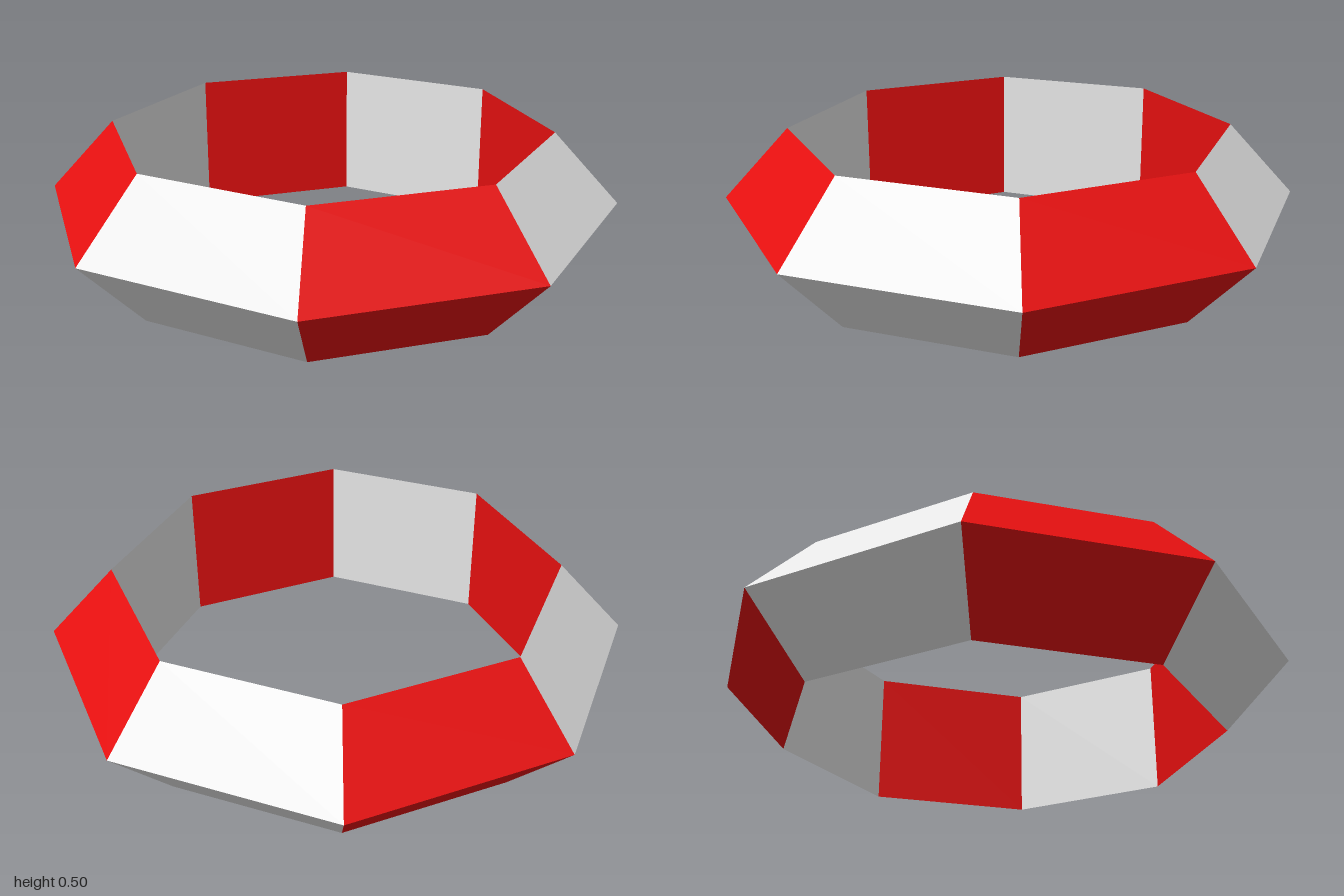
import * as THREE from 'three';

export function createModel() {
  const group = new THREE.Group();
  group.name = 'octagonalRing';

  const white = new THREE.MeshStandardMaterial({ color: 0xeeeeee, flatShading: true });
  white.name = 'white';
  const red = new THREE.MeshStandardMaterial({ color: 0xee1111, flatShading: true });
  red.name = 'red';

  // Triangular cross-section: upright inner wall, ridge on the outside
  const profile = [[0.77, 0], [1, 0.25], [0.77, 0.5], [0.77, 0]]
    .map(([r, y]) => new THREE.Vector2(r, y));

  // Eight straight segments in alternating colours
  const sides = 8;
  const step = (Math.PI * 2) / sides;
  for (let i = 0; i < sides; i++) {
    const geometry = new THREE.LatheGeometry(profile, 1, i * step, step).toNonIndexed();
    geometry.computeVertexNormals();
    const segment = new THREE.Mesh(geometry, i % 2 ? red : white);
    segment.name = `${i % 2 ? 'red' : 'white'}Segment${Math.floor(i / 2) + 1}`;
    group.add(segment);
  }
  return group;
}
